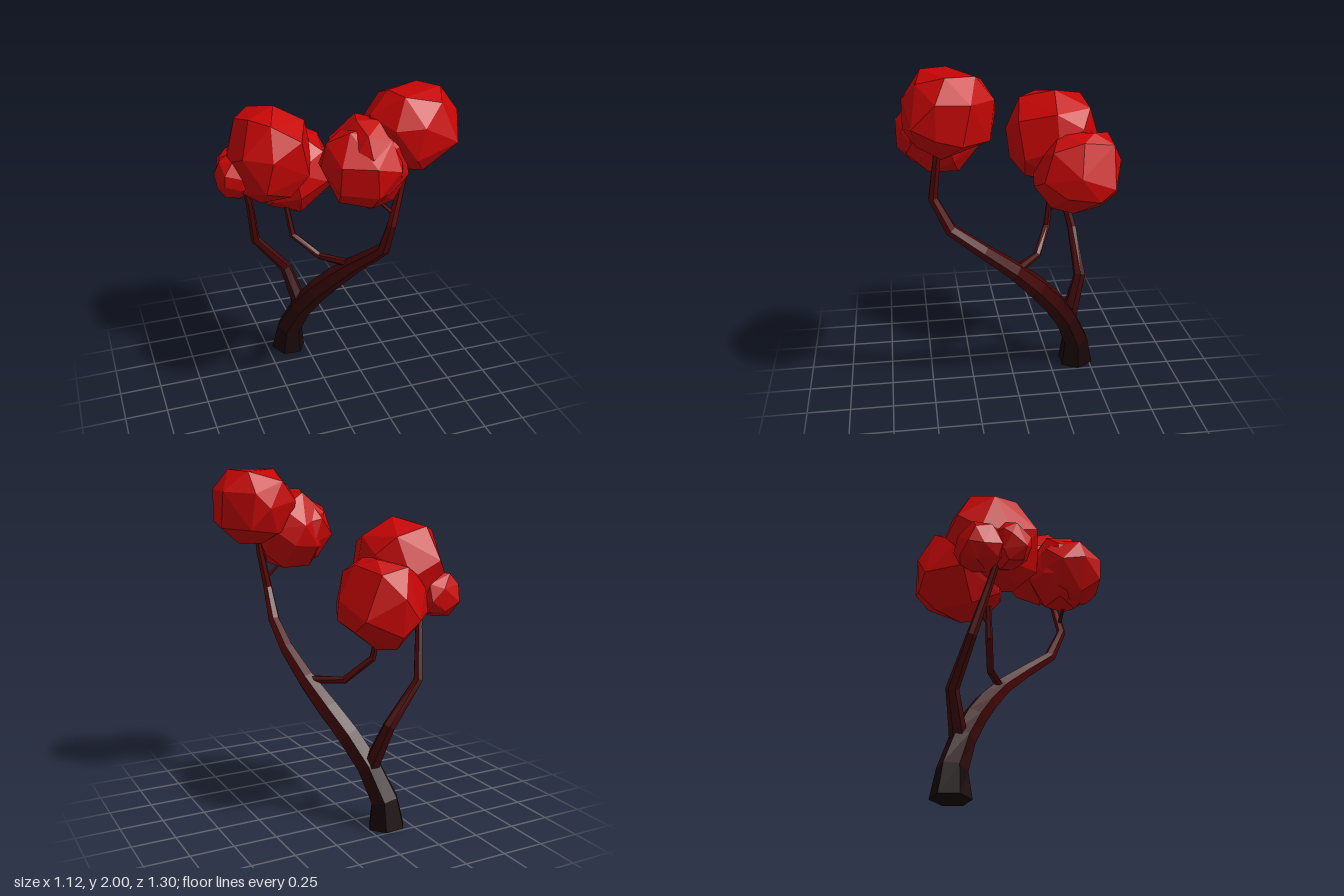
import * as THREE from 'three';
import { ConvexGeometry } from 'three/addons/geometries/ConvexGeometry.js';

const SIDES = 6;
const DARK = new THREE.Color(0x060606);
const BARK = new THREE.Color(0x5c0606);
const LEAF = 0xc60505;

// Small seeded generator for the irregular foliage
function seeded(seed) {
  let s = seed * 7919 + 17;
  return () => (s = (s * 16807) % 2147483647) / 2147483647;
}

// Tapered limb through [x, y, z, radius] stations; bark reddens with height
function limb(name, stations) {
  const group = new THREE.Group();
  group.name = name;
  const centres = stations.map((s) => new THREE.Vector3(s[0], s[1], s[2]));
  const rings = stations.map((s, i) => {
    const t = new THREE.Vector3();
    if (i > 0) t.add(centres[i].clone().sub(centres[i - 1]).normalize());
    if (i < centres.length - 1) t.add(centres[i + 1].clone().sub(centres[i]).normalize());
    t.normalize();
    const u = new THREE.Vector3(1, 0, 0).addScaledVector(t, -t.x).normalize();
    const v = t.clone().cross(u);
    return Array.from({ length: SIDES }, (_, j) => {
      const a = (j / SIDES) * Math.PI * 2;
      return centres[i].clone()
        .addScaledVector(u, s[3] * Math.cos(a))
        .addScaledVector(v, s[3] * Math.sin(a));
    });
  });

  for (let i = 0; i < rings.length - 1; i++) {
    const pts = [];
    for (let j = 0; j < SIDES; j++) {
      const k = (j + 1) % SIDES;
      const [a, b, c, d] = [rings[i][j], rings[i][k], rings[i + 1][k], rings[i + 1][j]];
      pts.push(a, b, c, a, c, d);
      if (i === 0) pts.push(centres[0], b, a);
      if (i === rings.length - 2) pts.push(centres[i + 1], d, c);
    }
    const geometry = new THREE.BufferGeometry().setFromPoints(pts);
    geometry.computeVertexNormals();
    const height = (centres[i].y + centres[i + 1].y) / 2;
    const color = DARK.clone().lerp(BARK, Math.min(1, height / 1.4));
    const mesh = new THREE.Mesh(geometry, new THREE.MeshStandardMaterial({ color, flatShading: true }));
    mesh.name = name + 'Segment';
    group.add(mesh);
  }
  return group;
}

// Faceted foliage clump: hull of jittered sphere points, fitted to a box
// slightly oversize and trimmed to it so that some facets lie flat
function clump(seed, x0, x1, y0, y1, z0, z1) {
  const count = 26;
  const random = seeded(seed);
  const turn = new THREE.Euler(random() * 6, random() * 6, random() * 6);
  const points = [];
  for (let i = 0; i < count; i++) {
    const h = 1 - (2 * (i + 0.5)) / count;
    const a = i * 2.39996 + (random() - 0.5) * 0.5;
    const r = Math.sqrt(1 - h * h);
    const p = new THREE.Vector3(r * Math.cos(a), h, r * Math.sin(a));
    points.push(p.multiplyScalar(0.96 + random() * 0.06).applyEuler(turn));
  }
  const source = new THREE.Box3().setFromPoints(points);
  const target = new THREE.Box3(new THREE.Vector3(x0, y0, z0), new THREE.Vector3(x1, y1, z1));
  const from = source.getCenter(new THREE.Vector3());
  const to = target.getCenter(new THREE.Vector3());
  const scale = target.getSize(new THREE.Vector3()).divide(source.getSize(new THREE.Vector3()));
  scale.multiplyScalar(1.05);
  for (const p of points) p.sub(from).multiply(scale).add(to).clamp(target.min, target.max);
  const mesh = new THREE.Mesh(
    new ConvexGeometry(points),
    new THREE.MeshStandardMaterial({ color: LEAF, flatShading: true })
  );
  mesh.name = 'foliageClump';
  return mesh;
}

export function createModel() {
  const tree = new THREE.Group();
  tree.name = 'tree';

  // Leaning trunk that sweeps forward and up
  tree.add(limb('trunk', [
    [-0.112, 0.012, -0.418, 0.111], [-0.102, 0.17, -0.41, 0.084], [-0.04, 0.36, -0.33, 0.074],
    [0.035, 0.52, -0.23, 0.071], [0.11, 0.66, -0.12, 0.066], [0.18, 0.81, 0.02, 0.054],
    [0.22, 0.96, 0.2, 0.043], [0.22, 1.1, 0.38, 0.036], [0.22, 1.29, 0.47, 0.028],
    [0.28, 1.53, 0.445, 0.022], [0.3, 1.65, 0.42, 0.018],
  ]));

  // Rear branch
  tree.add(limb('rearBranch', [
    [-0.04, 0.34, -0.35, 0.05], [-0.06, 0.42, -0.37, 0.047], [-0.115, 0.61, -0.43, 0.037],
    [-0.31, 0.85, -0.415, 0.029], [-0.355, 1.14, -0.34, 0.022], [-0.39, 1.28, -0.31, 0.018],
  ]));

  // Inner branch
  tree.add(limb('innerBranch', [
    [0.18, 0.81, 0.01, 0.026], [0.015, 0.82, -0.14, 0.022],
    [-0.125, 0.95, -0.22, 0.021], [-0.155, 1.14, -0.245, 0.016], [-0.16, 1.26, -0.26, 0.014],
  ]));

  // Thin twigs
  tree.add(limb('upperTwig', [[0.22, 1.36, 0.46, 0.012], [0.12, 1.46, 0.44, 0.009]]));
  tree.add(limb('lowerTwig', [[-0.14, 1.03, -0.235, 0.012], [-0.13, 1.14, -0.31, 0.009]]));

  // Foliage: top clump, overlapping front pair, rear pair, two small side clumps
  const foliage = new THREE.Group();
  foliage.name = 'foliage';
  [
    [0.1, 0.56, 1.57, 2.0, 0.14, 0.615],
    [-0.16, 0.3, 1.42, 1.85, 0.21, 0.65],
    [-0.1, 0.32, 1.41, 1.88, 0.185, 0.61],
    [-0.5, 0.01, 1.21, 1.755, -0.54, 0.005],
    [-0.32, 0.17, 1.04, 1.55, -0.65, -0.135],
    [-0.565, -0.33, 1.23, 1.49, -0.37, -0.15],
    [-0.53, -0.26, 1.2, 1.46, -0.545, -0.29],
  ].forEach((box, i) => foliage.add(clump(i + 1, ...box)));
  tree.add(foliage);

  return tree;
}
